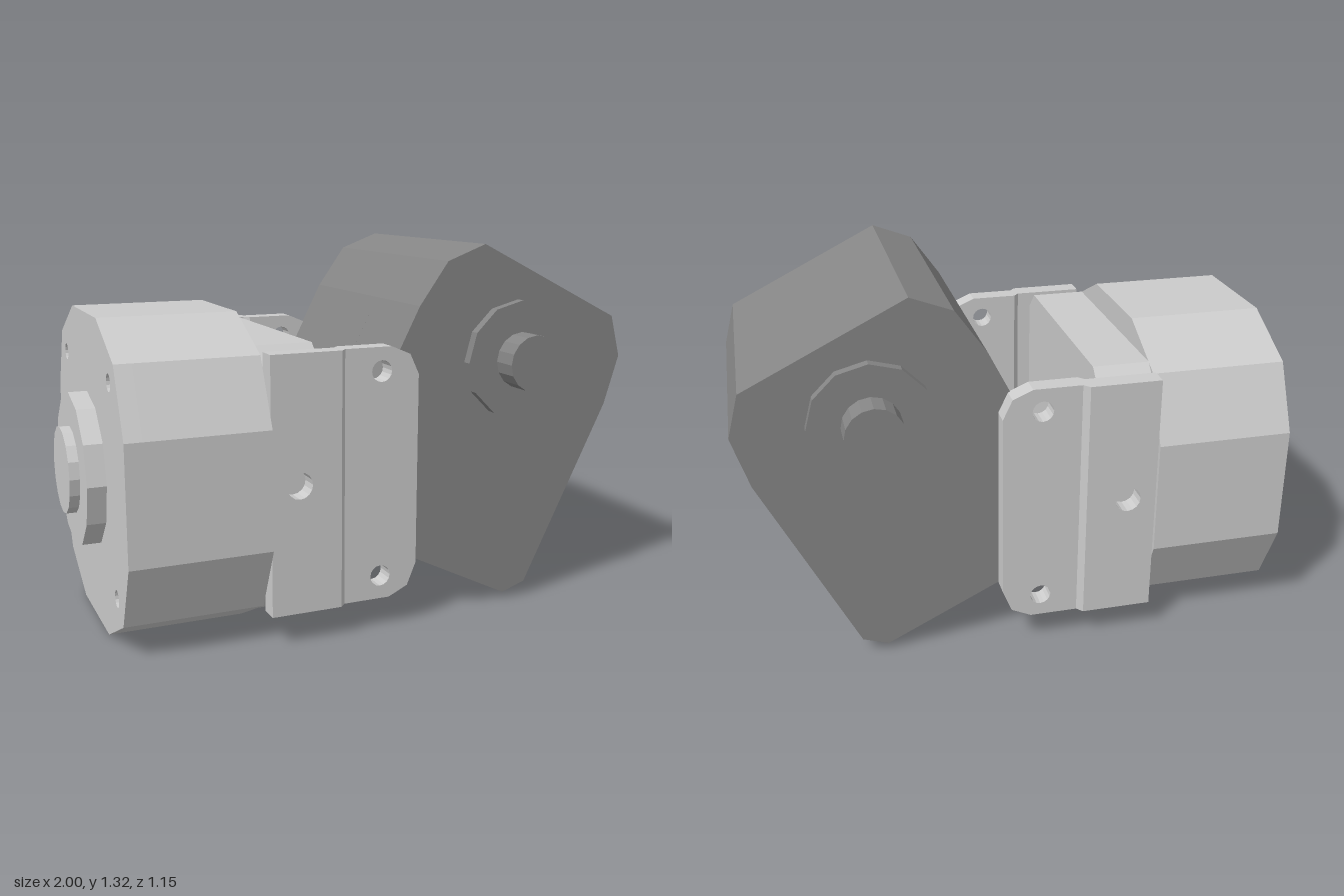
import * as THREE from 'three';

const light = new THREE.MeshStandardMaterial({ color: 0xcccccc, flatShading: true });
const dark = new THREE.MeshStandardMaterial({ color: 0x858585, flatShading: true });
const CY = 0.547; // height of the motor axis

// outline with optional round holes [x, y, radius], extruded by depth along z
function extrude(points, depth, holes = []) {
  const shape = new THREE.Shape(points.map(([x, y]) => new THREE.Vector2(x, y)));
  for (const [x, y, r] of holes) {
    const hole = new THREE.Path();
    hole.absarc(x, y, r, 0, Math.PI * 2, true);
    shape.holes.push(hole);
  }
  return new THREE.ExtrudeGeometry(shape, { depth, bevelEnabled: false, curveSegments: 8 });
}

function add(parent, name, geometry, material) {
  const mesh = new THREE.Mesh(geometry, material);
  mesh.name = name;
  parent.add(mesh);
  return mesh;
}

// prism along x, from a section symmetric about the motor axis
function alongX(points, x0, x1, holes) {
  return extrude(points, x1 - x0, holes).rotateY(Math.PI / 2).translate(x0, CY, 0);
}

// closed section from one quarter, mirrored twice
function fourWay(quarter) {
  const back = [...quarter].reverse();
  return [
    ...quarter,
    ...back.map(([a, b]) => [-a, b]),
    ...quarter.map(([a, b]) => [-a, -b]),
    ...back.map(([a, b]) => [a, -b]),
  ];
}

function createMotor() {
  const motor = new THREE.Group();
  motor.name = 'motor';
  const section = fourWay([[0.547, 0.203], [0.44, 0.43], [0.203, 0.547]]);
  const screws = [];
  for (const a of [-0.36, 0.36]) for (const b of [-0.36, 0.36]) screws.push([a, b, 0.03]);
  add(motor, 'motorHousing', alongX(section, -0.84, -0.42), light);
  add(motor, 'motorEndCap', alongX(section, -0.9, -0.84, screws), light);

  // stepped boss on the rear end
  const disc = (r, x0, x1, sides) =>
    new THREE.CylinderGeometry(r, r, x1 - x0, sides).rotateZ(Math.PI / 2).translate((x0 + x1) / 2, CY, 0);
  add(motor, 'rearBoss', disc(0.272, -0.965, -0.9, 12), light);
  add(motor, 'rearHub', disc(0.153, -1, -0.965, 16), light);

  // chamfered block between the mounting plates
  add(motor, 'mountBlock', alongX(fourWay([[0.463, 0.385], [0.39, 0.455]]), -0.42, -0.22), light);
  return motor;
}

// joggled side plate; side is +1 or -1 in z
function createBracket(side) {
  const bracket = new THREE.Group();
  bracket.name = side > 0 ? 'frontBracket' : 'backBracket';
  const y0 = 0.107, y1 = 0.99, t = 0.07;
  const place = (geometry, inner) => geometry.translate(0, 0, side > 0 ? inner : -inner - t);

  add(bracket, 'bracketFoot', place(extrude(
    [[-0.42, y0], [-0.17, y0], [-0.17, y1], [-0.42, y1]], t, [[-0.32, 0.55, 0.046]]), 0.46), light);
  add(bracket, 'bracketEar', place(extrude(
    [[-0.15, y0], [0.02, y0], [0.09, 0.14], [0.123, 0.22], [0.123, 0.89], [0.09, 0.96], [0.02, y1], [-0.15, y1]],
    t, [[-0.015, 0.908, 0.037], [-0.015, 0.19, 0.037]]), 0.438), light);

  // sloped step between foot and ear
  const step = [[-0.17, 0.46], [-0.15, 0.438], [-0.15, 0.508], [-0.17, 0.53]].map(([x, z]) => [x, -z * side]);
  add(bracket, 'bracketStep', extrude(step, y1 - y0).rotateX(-Math.PI / 2).translate(0, y0, 0), light);
  return bracket;
}

function createGearbox() {
  const gearbox = new THREE.Group();
  gearbox.name = 'gearbox';
  const outline = [
    [-0.14, 0.353], [0.527, 0.024], [0.618, 0.055], [0.944, 0.71], [1, 0.89], [0.96, 1.04],
    [0.41, 1.315], [0.265, 1.26], [0.158, 1.11], [-0.175, 0.46],
  ];
  // the middle slice carries a socket recess in the sloping face
  const notch = [[0.07, 0.938], [0.106, 0.92], [-0.094, 0.53], [-0.13, 0.548]];
  const notched = [...outline.slice(0, 9), ...notch, outline[9]];
  const slices = [[-0.4425, 0.108, outline], [0.108, 0.298, notched], [0.298, 0.4425, outline]];
  for (const [z0, z1, points] of slices) {
    add(gearbox, 'gearboxHousing', extrude(points, z1 - z0).translate(0, 0, z0), dark);
  }
  for (const [x, y] of [[-0.045, 0.638], [0.05, 0.823]]) {
    const pin = add(gearbox, 'socketBlock', new THREE.BoxGeometry(0.03, 0.185, 0.085), dark);
    pin.position.set(x, y, 0.2);
    pin.rotation.z = -0.473;
  }

  // output boss and shaft on both sides
  const round = (r, length, sides) =>
    new THREE.CylinderGeometry(r, r, length, sides).rotateX(Math.PI / 2).translate(0.549, 0.906, 0);
  add(gearbox, 'outputBoss', round(0.212, 0.956, 12), dark);
  add(gearbox, 'outputShaft', round(0.1, 1.146, 16), dark);
  return gearbox;
}

export function createModel() {
  const model = new THREE.Group();
  model.name = 'gearMotor';
  const body = new THREE.Group();
  body.name = 'body';
  body.add(createMotor(), createBracket(1), createBracket(-1), createGearbox());
  model.add(body);
  return model;
}
